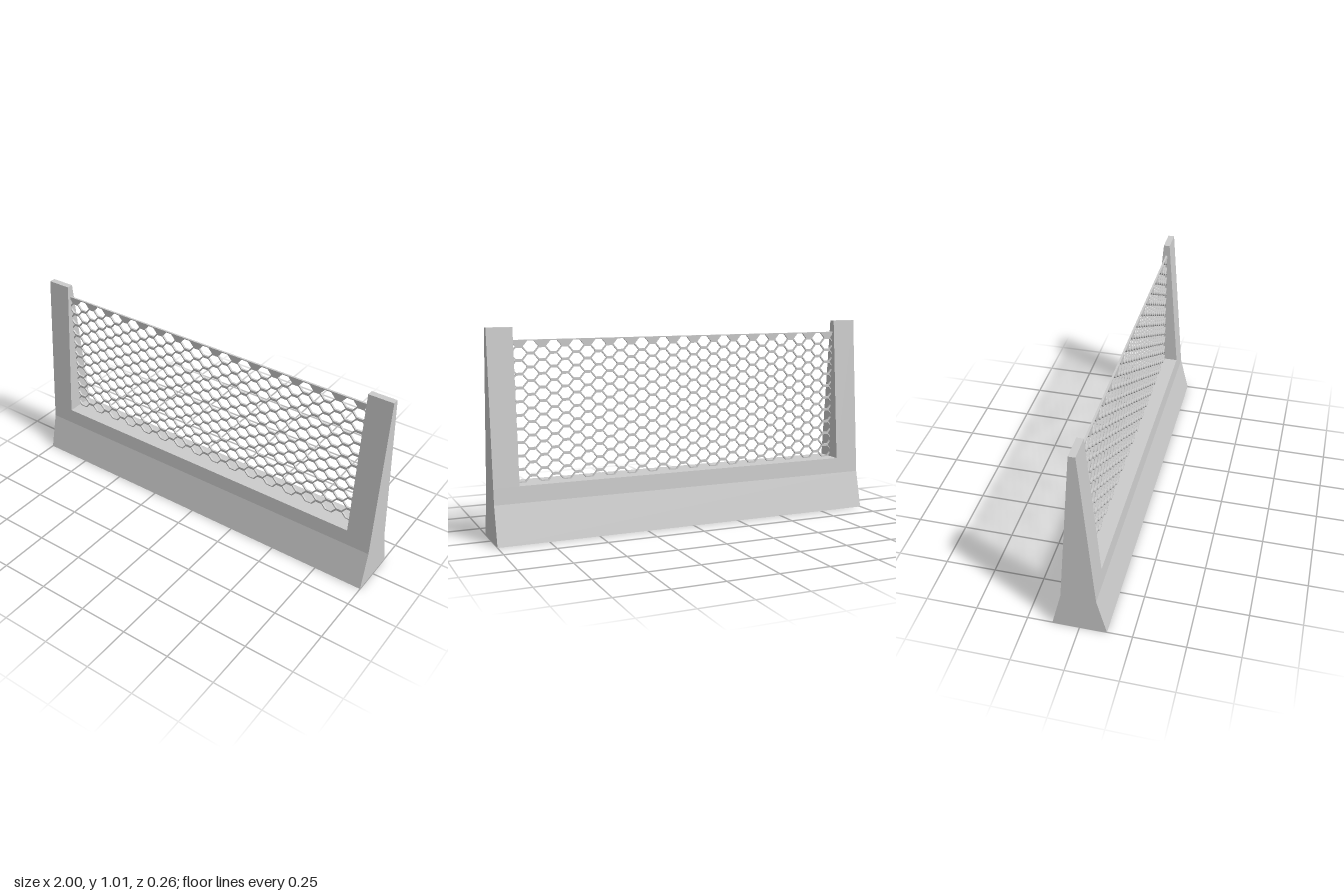
import * as THREE from 'three';

const LEDGE = 0.27, TOP = 1.01, INNER = 0.875;
const material = new THREE.MeshStandardMaterial({ color: 0xcccccc, flatShading: true });

// Half depth of the barrier at a height above the skirt
const halfDepth = (y) => THREE.MathUtils.mapLinear(y, 0.19, TOP, 0.083, 0.016);

// Mirrored [halfDepth, height] profile swept along x
function sweep(name, half, x0, x1) {
  const points = [...half, ...half.map(([z, y]) => [-z, y]).reverse()];
  const shape = new THREE.Shape(points.map(([z, y]) => new THREE.Vector2(z, y)));
  const geometry = new THREE.ExtrudeGeometry(shape, { depth: x1 - x0, bevelEnabled: false });
  geometry.rotateY(Math.PI / 2).translate(x0, 0, 0);
  const mesh = new THREE.Mesh(geometry, material);
  mesh.name = name;
  return mesh;
}

// Thin sheet pierced by staggered hexagonal holes; its sides and foot run into the concrete
function meshPanel() {
  const w = 0.885, bottom = 0.26, top = 0.95, thick = 0.01;
  const pitchX = 0.1125, pitchY = 0.065, rim = 0.005;
  const shape = new THREE.Shape([[-w, bottom], [w, bottom], [w, top], [-w, top]].map((p) => new THREE.Vector2(...p)));
  const hexagon = [[0.038, 0], [0.016, 0.026], [-0.016, 0.026], [-0.038, 0], [-0.016, -0.026], [0.016, -0.026]];
  for (let col = -16; col <= 16; col++) {
    const shift = col % 2 ? pitchY / 2 : 0;
    for (let row = 0; row < 11; row++) {
      const cx = col * pitchX / 2, cy = top - rim - 0.026 - shift - row * pitchY;
      // Cells cut by the border are trimmed to a narrow rim
      const hole = hexagon.map(([x, y]) => new THREE.Vector2(
        THREE.MathUtils.clamp(cx + x, -w + 0.002, w - 0.002),
        Math.max(cy + y, bottom + 0.002)));
      const height = Math.max(...hole.map((p) => p.y)) - Math.min(...hole.map((p) => p.y));
      const width = Math.max(...hole.map((p) => p.x)) - Math.min(...hole.map((p) => p.x));
      if (height > 0.01 && width > 0.01) shape.holes.push(new THREE.Path(hole));
    }
  }
  const geometry = new THREE.ExtrudeGeometry(shape, { depth: thick, bevelEnabled: false });
  geometry.translate(0, 0, -thick / 2);
  const mesh = new THREE.Mesh(geometry, material);
  mesh.name = 'meshPanel';
  return mesh;
}

export function createModel() {
  const group = new THREE.Group();
  group.name = 'meshBarrier';

  // Flared base
  group.add(sweep('base', [[0.13, 0], [0.083, 0.19], [halfDepth(LEDGE), LEDGE]], -1, 1));

  // Tapered end posts
  const post = [[halfDepth(LEDGE), LEDGE], [halfDepth(TOP), TOP]];
  group.add(sweep('rightPost', post, -1, -INNER), sweep('leftPost', post, INNER, 1));

  group.add(meshPanel());
  return group;
}
